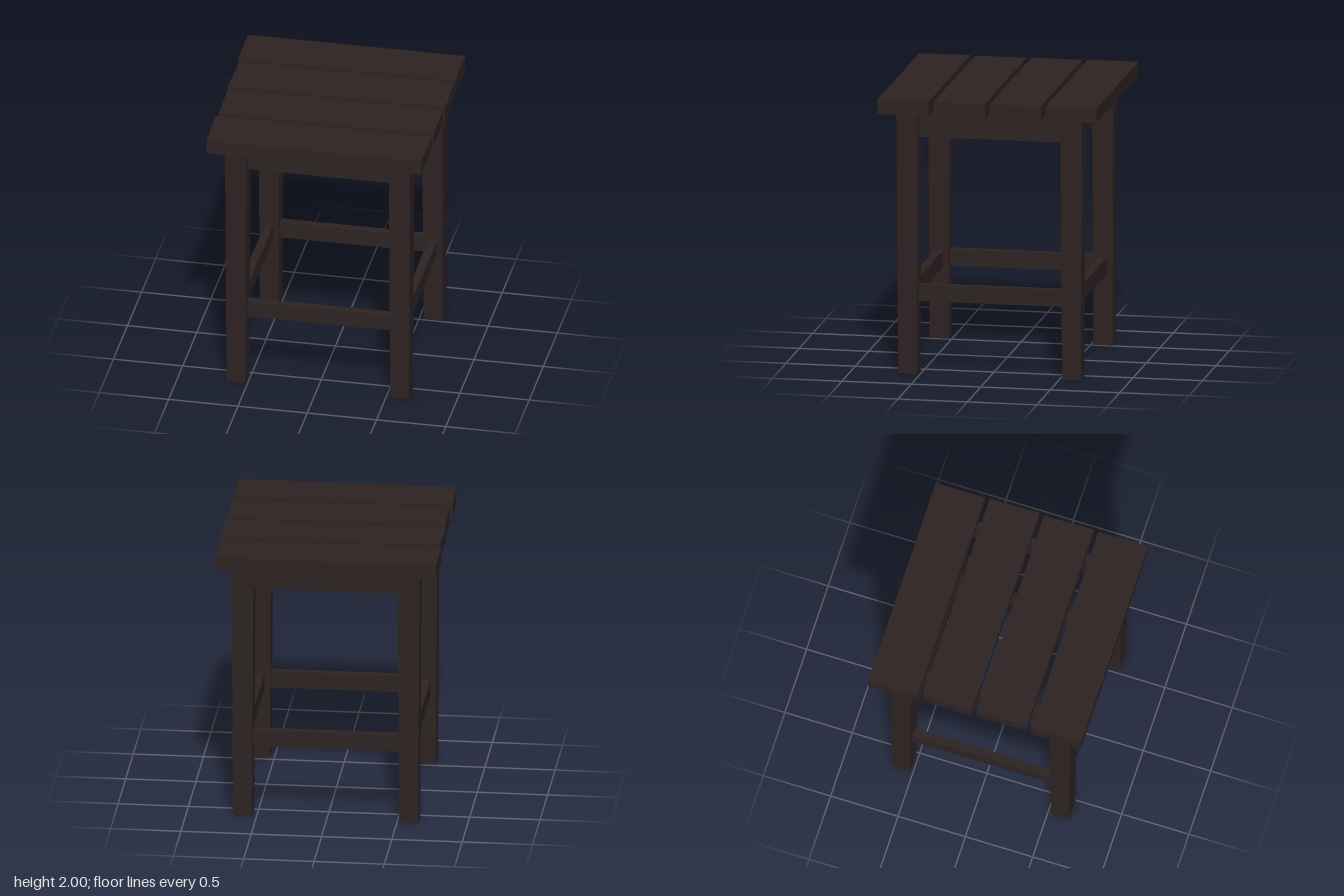
import * as THREE from 'three';

const wood = new THREE.MeshStandardMaterial({ color: 0x2d2222 });
wood.name = 'dark wood';

function addBox(parent, name, size, position) {
  const mesh = new THREE.Mesh(new THREE.BoxGeometry(...size), wood);
  mesh.name = name;
  mesh.position.set(...position);
  parent.add(mesh);
  return mesh;
}

// Seat board whose ends are sawn slightly out of square: [x at back, x at front] per end
function addSlat(parent, name, zBack, zFront, leftEnd, rightEnd) {
  const shape = new THREE.Shape([
    new THREE.Vector2(rightEnd[0], -zBack),
    new THREE.Vector2(rightEnd[1], -zFront),
    new THREE.Vector2(leftEnd[1], -zFront),
    new THREE.Vector2(leftEnd[0], -zBack),
  ]);
  const geometry = new THREE.ExtrudeGeometry(shape, { depth: 0.105, bevelEnabled: false });
  geometry.rotateX(-Math.PI / 2);
  const mesh = new THREE.Mesh(geometry, wood);
  mesh.name = name;
  mesh.position.y = 1.895;
  parent.add(mesh);
}

// Square leg, narrowing towards the floor
function addLeg(parent, name, x, z) {
  const height = 1.895;
  const leg = addBox(parent, name, [0.156, height, 0.156], [x, height / 2, z]);
  const p = leg.geometry.attributes.position;
  for (let i = 0; i < p.count; i++) {
    if (p.getY(i) < 0) {
      p.setX(i, p.getX(i) * 0.865);
      p.setZ(i, p.getZ(i) * 0.865);
    }
  }
  leg.geometry.computeVertexNormals();
}

export function createModel() {
  const stool = new THREE.Group();
  stool.name = 'stool';

  // Seat boards, back to front
  addSlat(stool, 'seatSlatBack', -0.79, -0.425, [-0.79, -0.79], [0.778, 0.778]);
  addSlat(stool, 'seatSlatMiddleBack', -0.39, -0.022, [-0.772, -0.78], [0.78, 0.788]);
  addSlat(stool, 'seatSlatMiddleFront', -0.39 + 0.403, 0.382, [-0.771, -0.764], [0.778, 0.784]);
  addSlat(stool, 'seatSlatFront', 0.418, 0.786, [-0.78, -0.77], [0.779, 0.776]);

  // Leg centres
  const xs = { Right: -0.583, Left: 0.598 };
  const zs = { front: 0.592, back: -0.588 };
  for (const [end, z] of Object.entries(zs)) {
    for (const [side, x] of Object.entries(xs)) addLeg(stool, `${end}${side}Leg`, x, z);
  }

  // Aprons under the seat and stretchers near the floor, centred on the legs
  const midX = (xs.Left + xs.Right) / 2;
  const midZ = (zs.front + zs.back) / 2;
  const length = 1.06;
  const rails = [['Apron', 1.8025, 0.185], ['Stretcher', 0.58, 0.12]];
  for (const [kind, y, height] of rails) {
    for (const [end, z] of Object.entries(zs)) {
      addBox(stool, `${end}${kind}`, [length, height, 0.06], [midX, y, z]);
    }
    for (const [side, x] of Object.entries(xs)) {
      addBox(stool, `${side.toLowerCase()}${kind}`, [0.06, height, length], [x, y, midZ]);
    }
  }
  return stool;
}
